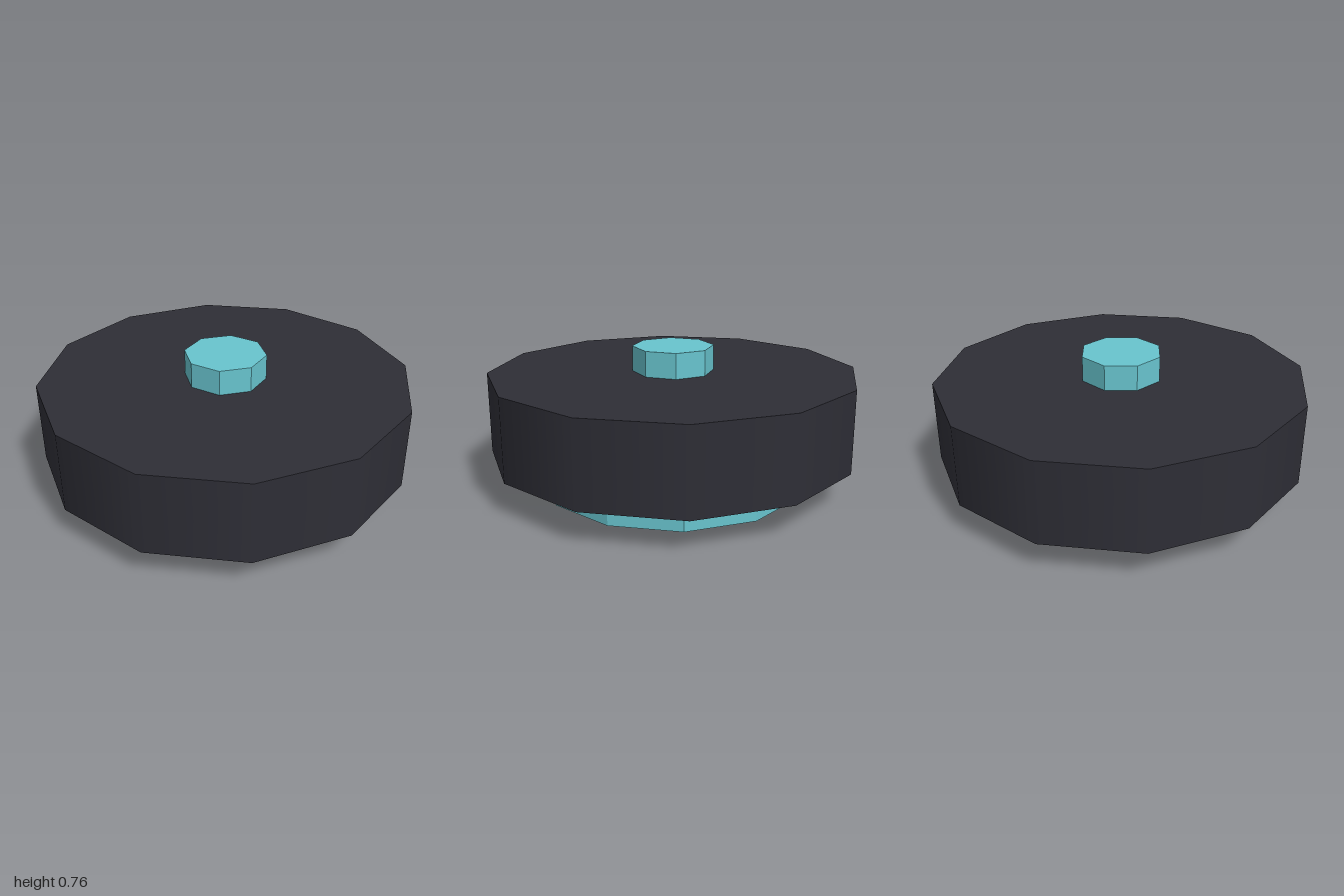
import * as THREE from 'three';

export function createModel() {
  const model = new THREE.Group();
  const charcoal = new THREE.MeshStandardMaterial({ color: 0x2e2e36 });
  charcoal.name = 'charcoal';
  const teal = new THREE.MeshStandardMaterial({ color: 0x68c4ce, flatShading: true });
  teal.name = 'teal';

  // Upright prism between two heights
  function disc(name, radius, bottom, top, sides, material) {
    const geometry = new THREE.CylinderGeometry(radius, radius, top - bottom, sides);
    const mesh = new THREE.Mesh(geometry, material);
    mesh.name = name;
    mesh.position.y = (bottom + top) / 2;
    model.add(mesh);
  }

  // Faceted foot, smooth-sided main body, small faceted knob
  disc('base', 0.73, 0, 0.18, 12, teal);
  disc('body', 1, 0.18, 0.62, 12, charcoal);
  disc('knob', 0.22, 0.62, 0.757, 8, teal);

  return model;
}
